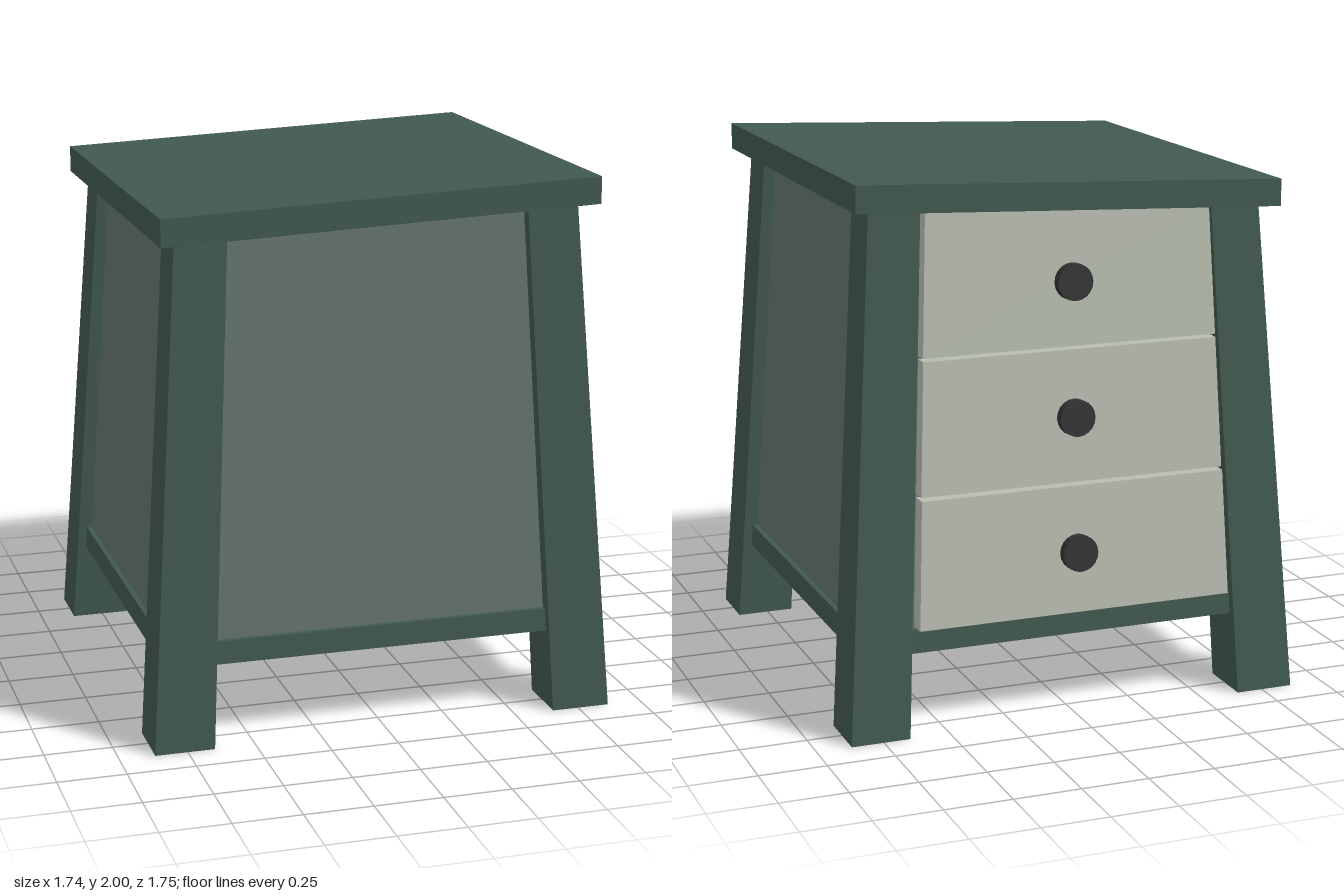
import * as THREE from 'three';

const mat = (color) => new THREE.MeshStandardMaterial({ color, flatShading: true });

// Height of the sloping underside of the table top at a given x
const underside = (x) => 1.865 + 0.0432 * x;

// Box whose bottom and top rectangles [x0, x1, z0, z1] differ.
// Without y1 the top is cut to the slope of the table top.
function taperedBox(name, material, y0, bottom, y1, top) {
  const geo = new THREE.BoxGeometry(1, 1, 1);
  const p = geo.attributes.position;
  for (let i = 0; i < p.count; i++) {
    const upper = p.getY(i) > 0;
    const r = upper ? top : bottom;
    const x = p.getX(i) > 0 ? r[1] : r[0];
    const z = p.getZ(i) > 0 ? r[3] : r[2];
    const y = upper ? (y1 ?? underside(x) + 0.003) : y0;
    p.setXYZ(i, x, y, z);
  }
  geo.computeVertexNormals();
  const mesh = new THREE.Mesh(geo, material);
  mesh.name = name;
  return mesh;
}

export function createModel() {
  const model = new THREE.Group();
  model.name = 'nightstand';
  const frame = mat(0x40594f);
  const panel = mat(0x64736c);
  const front = mat(0xb8bdb0);
  const dark = mat(0x333333);

  // Sloping table top
  const h = 0.807;
  const topGeo = new THREE.BoxGeometry(2 * h, 0.1, 1.617);
  const tp = topGeo.attributes.position;
  for (let i = 0; i < tp.count; i++) {
    const x = tp.getX(i);
    tp.setY(i, underside(x) + (tp.getY(i) > 0 ? 0.1 : 0));
  }
  topGeo.computeVertexNormals();
  const top = new THREE.Mesh(topGeo, frame);
  top.name = 'tableTop';
  top.position.z = 0.006;
  model.add(top);

  // Splayed legs
  const span = (s, inner, outer) => (s > 0 ? [inner, outer] : [-outer, -inner]);
  for (const sx of [-1, 1]) {
    for (const sz of [-1, 1]) {
      const side = (sz > 0 ? 'front' : 'back') + (sx > 0 ? 'Left' : 'Right');
      model.add(taperedBox(side + 'Leg', frame,
        0, [...span(sx, 0.65, 0.87), ...span(sz, 0.65, 0.87)],
        undefined, [...span(sx, 0.555, 0.745), ...span(sz, 0.56, 0.745)]));
    }
  }

  // Bottom shelf and the cabinet body above it
  model.add(taperedBox('bottomShelf', frame,
    0.3, [-0.815, 0.815, -0.815, 0.815], 0.385, [-0.81, 0.81, -0.81, 0.81]));
  model.add(taperedBox('cabinetBody', panel,
    0.385, [-0.79, 0.79, -0.79, 0.79], undefined, [-0.7, 0.7, -0.7, 0.7]));

  // Three drawers on the back side, each with a round knob
  const halfWidth = (y) => 0.605 - 0.043 * (y - 0.39);
  const drawers = [
    { y0: 0.395, y1: 0.865, z0: -0.856, z1: -0.825, knob: 0.62 },
    { y0: 0.877, y1: 1.36, z0: -0.818, z1: -0.787, knob: 1.115 },
    { y0: 1.372, z0: -0.785, z1: -0.755, knob: 1.605 },
  ];
  for (const d of drawers) {
    const yTop = d.y1 ?? 1.865;
    const wb = halfWidth(d.y0);
    const wt = halfWidth(yTop);
    const drawer = new THREE.Group();
    drawer.name = 'drawer';
    drawer.add(taperedBox('drawerFront', front,
      d.y0, [-wb, wb, d.z0, d.z0 + 0.14], d.y1, [-wt, wt, d.z1, d.z1 + 0.14]));

    const t = (d.knob - d.y0) / (yTop - d.y0);
    const knob = new THREE.Mesh(new THREE.CylinderGeometry(0.067, 0.067, 0.08, 20), dark);
    knob.name = 'knob';
    knob.rotation.x = -Math.PI / 2 + Math.atan2(d.z1 - d.z0, yTop - d.y0);
    knob.position.set(-0.003, d.knob, d.z0 + (d.z1 - d.z0) * t + 0.003);
    drawer.add(knob);
    model.add(drawer);
  }
  return model;
}
